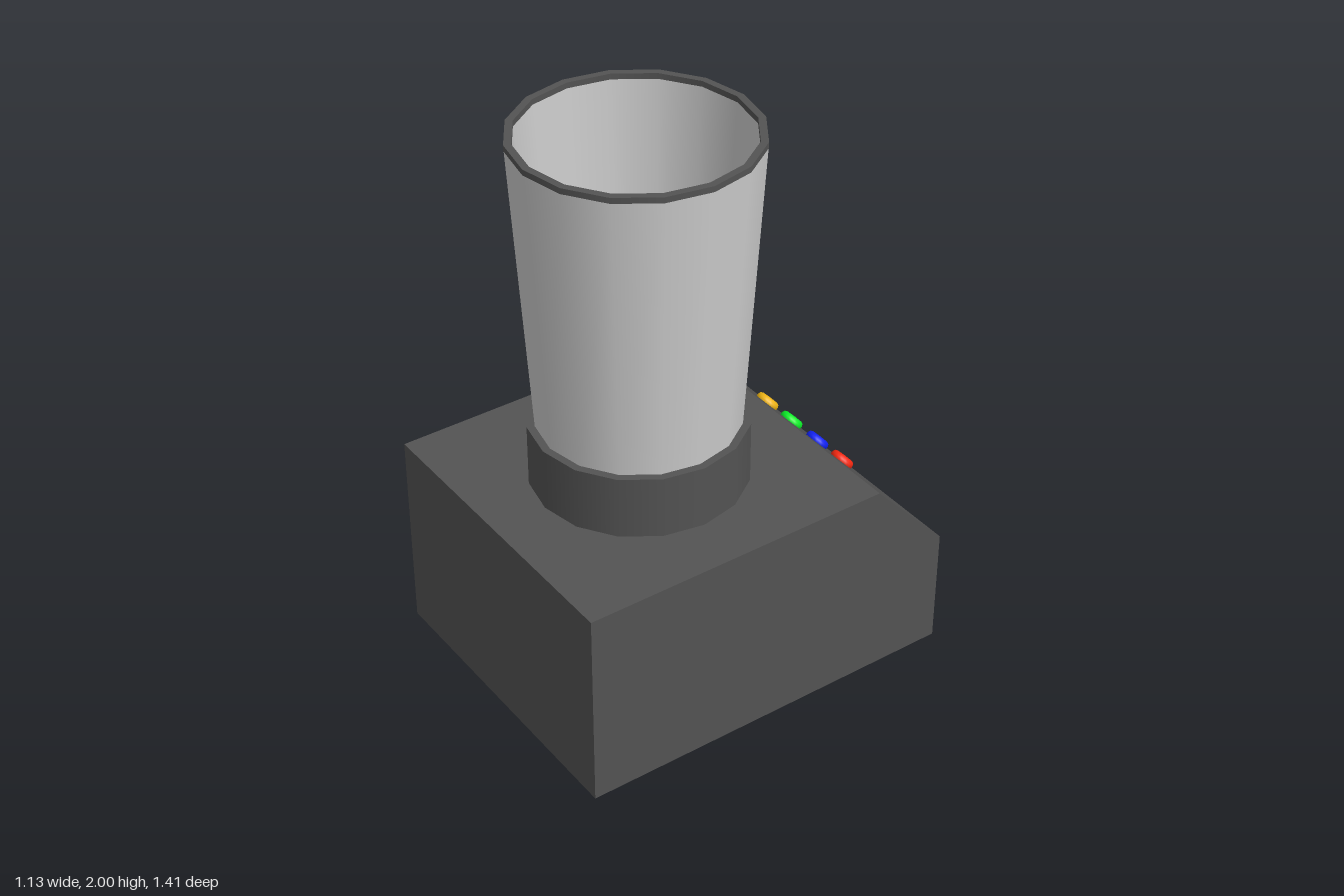
import * as THREE from 'three';

const material = (color, side = THREE.FrontSide) =>
  new THREE.MeshStandardMaterial({ color, side });

export function createModel() {
  const model = new THREE.Group();
  const dark = material(0x535353);
  const grey = material(0xcccccc);
  const add = (name, geometry, mat, parent = model) => {
    const mesh = new THREE.Mesh(geometry, mat);
    mesh.name = name;
    parent.add(mesh);
    return mesh;
  };

  // Motor base: side profile (z, y) with a sloped control face, extruded along x
  const width = 1.13;
  const profile = new THREE.Shape([
    [-0.705, 0], [0.705, 0], [0.705, 0.735], [-0.425, 0.735], [-0.705, 0.43],
  ].map(([z, y]) => new THREE.Vector2(-z, y)));
  const baseGeometry = new THREE.ExtrudeGeometry(profile, { depth: width, bevelEnabled: false });
  baseGeometry.translate(0, 0, -width / 2).rotateY(Math.PI / 2);
  add('base', baseGeometry, dark);

  // Everything on the jar axis
  const jar = new THREE.Group();
  jar.name = 'jarAssembly';
  jar.position.z = 0.138;
  model.add(jar);

  const sides = 16;
  const floor = 0.96;
  add('collar', new THREE.CylinderGeometry(0.37, 0.37, 0.225, sides)
    .translate(0, 0.8475, 0), dark, jar);

  // Tapered jar: outer and inner walls
  const wall = (top, bottom) => new THREE.CylinderGeometry(top, bottom, 1.02, sides, 1, true)
    .translate(0, floor + 0.51, 0);
  add('jarOuterWall', wall(0.404, 0.343), grey, jar);
  add('jarInnerWall', wall(0.38, 0.317), material(0xcccccc, THREE.BackSide), jar);

  // Rim: square-section ring with sharp edges
  const rim = new THREE.Group();
  rim.name = 'rim';
  jar.add(rim);
  const section = [[0.38, 1.98], [0.405, 1.98], [0.405, 2], [0.38, 2]]
    .map(([r, y]) => new THREE.Vector2(r, y));
  section.forEach((p, i) => add('rimFace',
    new THREE.LatheGeometry([p, section[(i + 1) % 4]], sides), dark, rim));

  // Blade hub and four flat blades
  add('bladeHub', new THREE.CylinderGeometry(0.05, 0.062, 0.1, sides)
    .translate(0, floor + 0.05, 0), grey, jar);
  for (let i = 0; i < 4; i++) {
    const blade = add('blade', new THREE.BoxGeometry(0.245, 0.02, 0.026)
      .translate(0.1625, floor + 0.05, 0), grey, jar);
    blade.rotation.y = i * Math.PI / 2;
  }

  // Round buttons on the sloped face
  const buttonProfile = [[0.036, -0.01], [0.043, 0], [0.043, 0.01], [0.039, 0.019], [0.03, 0.023], [0, 0.024]]
    .map(([r, y]) => new THREE.Vector2(r, y));
  const buttonGeometry = new THREE.LatheGeometry(buttonProfile, 20);
  const slopeNormal = new THREE.Vector3(0, 0.28, -0.305).normalize();
  const buttons = [
    ['yellowButton', 0xf0b514, -0.212],
    ['greenButton', 0x0bee28, -0.073],
    ['blueButton', 0x1122f3, 0.073],
    ['redButton', 0xf52811, 0.21],
  ];
  for (const [name, color, x] of buttons) {
    const button = add(name, buttonGeometry, material(color));
    button.position.set(x, 0.598, -0.551);
    button.quaternion.setFromUnitVectors(new THREE.Vector3(0, 1, 0), slopeNormal);
  }
  return model;
}
